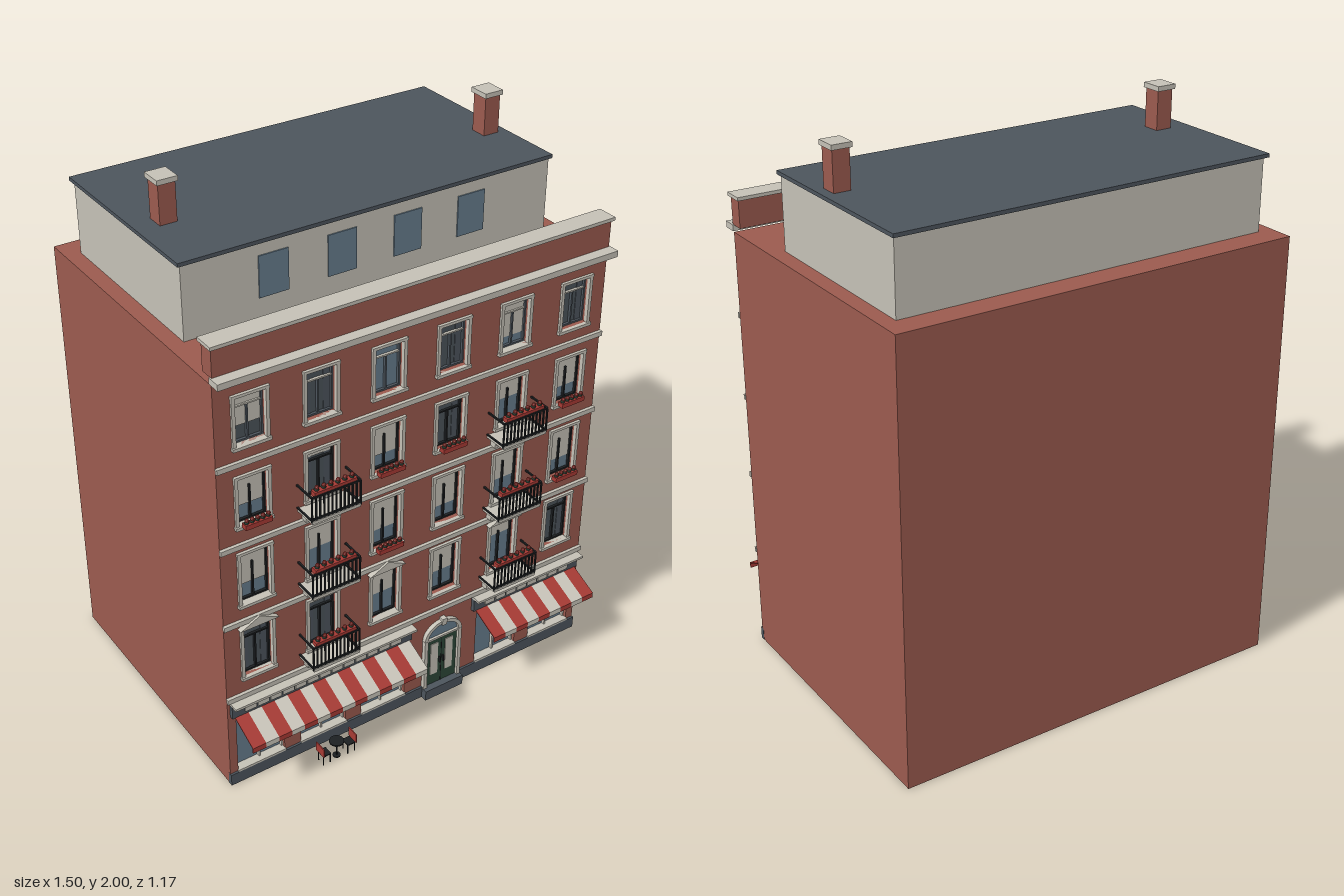
import * as THREE from 'three';

const mat = (name, color, side = THREE.FrontSide) => {
  const m = new THREE.MeshStandardMaterial({ color, side });
  m.name = name;
  return m;
};

export function createModel() {
  const root = new THREE.Group();
  root.name = 'apartmentBuilding';
  const brick = mat('brick', 0x9a5a4e), stone = mat('stone', 0xc4c0b5);
  const slate = mat('slate', 0x4c545c), glass = mat('glass', 0x667c8d);
  const darkPane = mat('darkPane', 0x4b5359), iron = mat('iron', 0x1c1f21);
  const red = mat('red', 0xa63a34, THREE.DoubleSide), green = mat('green', 0x2c4738);
  const canvas = mat('canvas', 0xc9c5ba, THREE.DoubleSide);

  const add = (parent, name, geo, m) => {
    const mesh = new THREE.Mesh(geo, m);
    mesh.name = name;
    parent.add(mesh);
    return mesh;
  };
  // box given by its extents
  const box = (parent, name, m, x0, x1, y0, y1, z0, z1) => {
    const b = add(parent, name, new THREE.BoxGeometry(x1 - x0, y1 - y0, z1 - z0), m);
    b.position.set((x0 + x1) / 2, (y0 + y1) / 2, (z0 + z1) / 2);
    return b;
  };
  const group = (name) => {
    const g = new THREE.Group();
    g.name = name;
    root.add(g);
    return g;
  };

  const F = 0.46, BACK = 0.435;
  const cols = [-0.622, -0.373, -0.124, 0.124, 0.373, 0.622];
  // bottom, top of the openings on each storey
  const rows = [[0.45, 0.645], [0.748, 0.942], [1.055, 1.228], [1.345, 1.515]];
  // blind drop as a share of the window; negative means a dark room behind
  const blinds = [
    [-0.01, -0.15, 0.55, 0.62, 0.35, -0.01],
    [0.7, 0.55, 0.7, 0.72, 0.65, 0.72],
    [0.68, -0.2, 0.72, -0.01, 0.5, 0.72],
    [-0.68, -0.08, 0.12, -0.08, 0.8, -0.08],
  ];
  const HW = 0.054;

  // main block with a pierced front wall
  box(root, 'mainBlock', brick, -0.745, 0.745, 0, 1.58, -0.585, BACK - 0.005);
  const rect = (S, x0, x1, y0, y1) => new S([[x0, y0], [x1, y0], [x1, y1], [x0, y1]]
    .map(([x, y]) => new THREE.Vector2(x, y)));
  const wall = rect(THREE.Shape, -0.745, 0.745, 0, 1.58);
  for (const x of cols) for (const [b, t] of rows) wall.holes.push(rect(THREE.Path, x - HW, x + HW, b, t));
  const shopCols = [0, 1, 2, 4, 5].map((i) => cols[i]);
  for (const x of shopCols) wall.holes.push(rect(THREE.Path, x - 0.092, x + 0.092, 0.05, 0.295));
  add(root, 'frontWall', new THREE.ExtrudeGeometry(wall, { depth: F - BACK + 0.005, bevelEnabled: false }), brick)
    .position.z = BACK - 0.005;

  // string courses, cornice, parapet
  for (const y of [0.375, 0.68, 0.98, 1.283]) box(root, 'stringCourse', stone, -0.747, 0.747, y - 0.009, y + 0.009, F, 0.472);
  box(root, 'cornice', stone, -0.75, 0.75, 1.585, 1.607, 0.455, 0.505);
  box(root, 'parapet', brick, -0.745, 0.745, 1.605, 1.703, 0.41, 0.465);
  box(root, 'parapetCoping', stone, -0.752, 0.752, 1.703, 1.715, 0.4, 0.475);

  // attic storey and chimneys
  box(root, 'attic', stone, -0.69, 0.69, 1.58, 1.835, -0.495, 0.2);
  box(root, 'atticRoof', slate, -0.7, 0.7, 1.835, 1.848, -0.51, 0.207);
  for (const x of cols.slice(1, 5)) box(root, 'atticWindow', glass, x - 0.053, x + 0.053, 1.65, 1.793, 0.199, 0.204);
  for (const x of [-0.595, 0.635]) {
    box(root, 'chimney', brick, x - 0.03, x + 0.03, 1.845, 1.985, -0.1, -0.037);
    box(root, 'chimneyCap', stone, x - 0.036, x + 0.036, 1.983, 2, -0.108, -0.03);
  }

  const flowers = (g, x0, x1, y, z, n) => {
    box(g, 'planter', red, x0, x1, y, y + 0.017, z - 0.012, z + 0.012);
    for (let i = 0; i < n; i++) {
      const x = x0 + (x1 - x0) * (i + 0.5) / n;
      add(g, 'leaves', new THREE.IcosahedronGeometry(0.009, 0), green).position.set(x, y + 0.02, z);
      add(g, 'blossom', new THREE.IcosahedronGeometry(0.008, 0), red).position.set(x, y + 0.029, z + 0.002);
    }
  };

  // upper windows
  rows.forEach(([b, t], r) => cols.forEach((x, c) => {
    const g = group('window'), v = blinds[r][c], h = t - b;
    const frame = r === 3 ? slate : iron;
    box(g, 'pane', v < 0 ? darkPane : glass, x - HW, x + HW, b, t, BACK - 0.008, BACK);
    box(g, 'blind', stone, x - HW, x + HW, t - h * Math.abs(v), t, BACK, BACK + 0.003);
    for (const s of [-1, 1]) {
      const e = x + s * HW;
      box(g, 'frameSide', frame, Math.min(e, e - s * 0.006), Math.max(e, e - s * 0.006), b, t, BACK, BACK + 0.01);
      box(g, 'surroundSide', stone, x + s * 0.059 - 0.006, x + s * 0.059 + 0.006, b, t, F - 0.006, F + 0.008);
      // drawn curtains in the dark rooms
      if (v < 0 && v > -0.3) box(g, 'curtain', slate, x + s * 0.035 - 0.012, x + s * 0.035 + 0.012, b, t, BACK, BACK + 0.002);
    }
    box(g, 'frameTop', frame, x - HW, x + HW, t - 0.006, t, BACK, BACK + 0.01);
    box(g, 'frameBottom', frame, x - HW, x + HW, b, b + 0.006, BACK, BACK + 0.01);
    box(g, 'mullion', frame, x - 0.003, x + 0.003, b, b + h * 0.72, BACK, BACK + 0.01);
    if (v < 0 || r === 3) box(g, 'transom', r === 3 ? stone : frame, x - HW, x + HW, b + h * 0.72, b + h * 0.75, BACK, BACK + 0.009);
    box(g, 'lintel', stone, x - 0.066, x + 0.066, t, t + 0.01, F - 0.006, F + 0.01);
    box(g, 'sill', stone, x - 0.068, x + 0.068, b - 0.011, b, F - 0.02, F + 0.014);
    if (r === 0 && c % 2 === 0) {
      const tri = new THREE.Shape([new THREE.Vector2(-0.072, 0), new THREE.Vector2(0.072, 0), new THREE.Vector2(0, 0.036)]);
      add(g, 'pediment', new THREE.ExtrudeGeometry(tri, { depth: 0.02, bevelEnabled: false }), stone).position.set(x, t + 0.008, F);
    }
    const boxed = (r === 2 && [0, 2, 3, 5].includes(c)) || (r === 1 && [2, 5].includes(c));
    if (boxed) flowers(g, x - 0.048, x + 0.048, b, 0.485, 5);
  }));

  // balconies
  for (const x of [cols[1], cols[4]]) for (const y of [0.43, 0.73, 1.03]) {
    const g = group('balcony'), w = 0.09, z = 0.545;
    box(g, 'slab', stone, x - w, x + w, y - 0.006, y + 0.005, F, z + 0.003);
    for (const s of [-1, 1]) {
      box(g, 'bracket', stone, x + s * 0.068 - 0.008, x + s * 0.068 + 0.008, y - 0.022, y - 0.006, F, 0.512);
      box(g, 'bracketFoot', stone, x + s * 0.068 - 0.006, x + s * 0.068 + 0.006, y - 0.042, y - 0.022, F, 0.485);
      box(g, 'sideRail', iron, x + s * w - 0.003, x + s * w + 0.003, y + 0.09, y + 0.096, F, z);
      box(g, 'sideBottomRail', iron, x + s * w - 0.003, x + s * w + 0.003, y + 0.005, y + 0.01, F, z);
    }
    for (const h of [0.008, 0.09]) box(g, 'frontRail', iron, x - w, x + w, y + h, y + h + 0.006, z - 0.003, z + 0.003);
    for (let i = 0; i <= 12; i++) {
      const bx = x - w + i * w / 6;
      box(g, 'baluster', iron, bx - 0.0025, bx + 0.0025, y, y + 0.092, z - 0.0025, z + 0.0025);
    }
    flowers(g, x - 0.078, x + 0.078, y + 0.09, 0.532, 6);
  }

  // ground floor: plinth and shop windows
  box(root, 'plinthLeft', slate, 0.205, 0.746, 0, 0.046, F - 0.01, 0.468);
  box(root, 'plinthRight', slate, -0.746, 0.045, 0, 0.046, F - 0.01, 0.468);
  for (const x of shopCols) {
    const g = group('shopWindow');
    box(g, 'shopGlass', glass, x - 0.092, x + 0.092, 0.05, 0.295, BACK - 0.008, BACK);
    for (const d of [-0.089, 0, 0.089]) box(g, 'shopMullion', stone, x + d - 0.003, x + d + 0.003, 0.05, 0.295, BACK, BACK + 0.012);
    box(g, 'shopSill', stone, x - 0.094, x + 0.094, 0.046, 0.054, BACK, F + 0.008);
  }

  // shop fascias and striped awnings
  for (const [x0, x1, n] of [[-0.725, -0.025, 14], [0.265, 0.72, 9]]) {
    const g = group('shopFront');
    box(g, 'fascia', slate, x0 - 0.01, x1 + 0.01, 0.3, 0.362, F - 0.005, 0.475);
    box(g, 'fasciaCap', stone, x0 - 0.012, x1 + 0.012, 0.355, 0.364, F, 0.503);
    const m = Math.round((x1 - x0 - 0.05) / 0.05), p = (x1 - x0 - 0.07) / m;
    for (let i = 0; i < m; i++) box(g, 'fasciaPanel', stone, x0 + 0.038 + i * p, x0 + 0.032 + (i + 1) * p, 0.313, 0.346, 0.474, 0.479);
    const w = (x1 - x0) / n, len = Math.hypot(0.125, 0.055);
    for (let i = 0; i < n; i++) {
      const m2 = i % 2 ? canvas : red, cx = x0 + (i + 0.5) * w;
      const s = add(g, 'awningStripe', new THREE.BoxGeometry(w, 0.004, len), m2);
      s.position.set(cx, 0.279, 0.5225);
      s.rotation.x = Math.atan2(0.055, 0.125);
      box(g, 'awningValance', m2, cx - w / 2, cx + w / 2, 0.232, 0.253, 0.581, 0.585);
    }
  }

  // entrance
  const door = group('entrance'), dx = 0.124;
  box(door, 'step', slate, dx - 0.082, dx + 0.082, 0, 0.04, F - 0.01, 0.492);
  box(door, 'doorPanel', green, dx - 0.066, dx + 0.066, 0.04, 0.25, F - 0.01, 0.465);
  for (const s of [-1, 1]) {
    box(door, 'doorLight', stone, dx + s * 0.032 - 0.016, dx + s * 0.032 + 0.016, 0.085, 0.225, 0.464, 0.468);
    box(door, 'doorJamb', stone, dx + s * 0.073 - 0.007, dx + s * 0.073 + 0.007, 0.04, 0.255, F, 0.476);
    box(door, 'doorHandle', iron, dx + s * 0.008 - 0.002, dx + s * 0.008 + 0.002, 0.13, 0.155, 0.465, 0.473);
  }
  box(door, 'doorGap', iron, dx - 0.001, dx + 0.001, 0.04, 0.25, 0.464, 0.4665);
  box(door, 'doorTransom', stone, dx - 0.068, dx + 0.068, 0.248, 0.256, F, 0.474);
  const half = (r) => new THREE.Shape().absellipse(0, 0, r, r * 0.88, 0, Math.PI, false);
  const fan = add(door, 'fanlight', new THREE.ExtrudeGeometry(half(0.068), { depth: 0.005, bevelEnabled: false }), glass);
  fan.position.set(dx, 0.256, F);
  const arch = new THREE.Shape();
  arch.absellipse(0, 0, 0.08, 0.066, 0, Math.PI, false);
  arch.absellipse(0, 0, 0.066, 0.054, Math.PI, 0, true);
  const archMesh = add(door, 'doorArch', new THREE.ExtrudeGeometry(arch, { depth: 0.016, bevelEnabled: false }), stone);
  archMesh.position.set(dx, 0.256, F);
  box(door, 'keystone', stone, dx - 0.01, dx + 0.01, 0.305, 0.332, F, 0.48);

  // pavement table with two chairs
  const cafe = group('cafeTable'), tx = -0.373, tz = 0.543;
  const disc = (name, r, h, y) => add(cafe, name, new THREE.CylinderGeometry(r, r, h, 16), iron).position.set(tx, y, tz);
  disc('tableTop', 0.026, 0.005, 0.066);
  disc('tableStem', 0.003, 0.064, 0.032);
  disc('tableFoot', 0.014, 0.004, 0.002);
  for (const s of [-1, 1]) {
    const cx = tx + s * 0.05;
    box(cafe, 'chairSeat', iron, cx - 0.016, cx + 0.016, 0.038, 0.042, tz - 0.018, tz + 0.018);
    box(cafe, 'chairBack', red, cx + s * 0.016 - 0.002, cx + s * 0.016 + 0.002, 0.042, 0.078, tz - 0.024, tz + 0.024);
    for (const a of [-1, 1]) for (const b of [-1, 1])
      box(cafe, 'chairLeg', iron, cx + a * 0.014 - 0.0015, cx + a * 0.014 + 0.0015, 0, 0.04, tz + b * 0.015 - 0.0015, tz + b * 0.015 + 0.0015);
  }
  return root;
}
